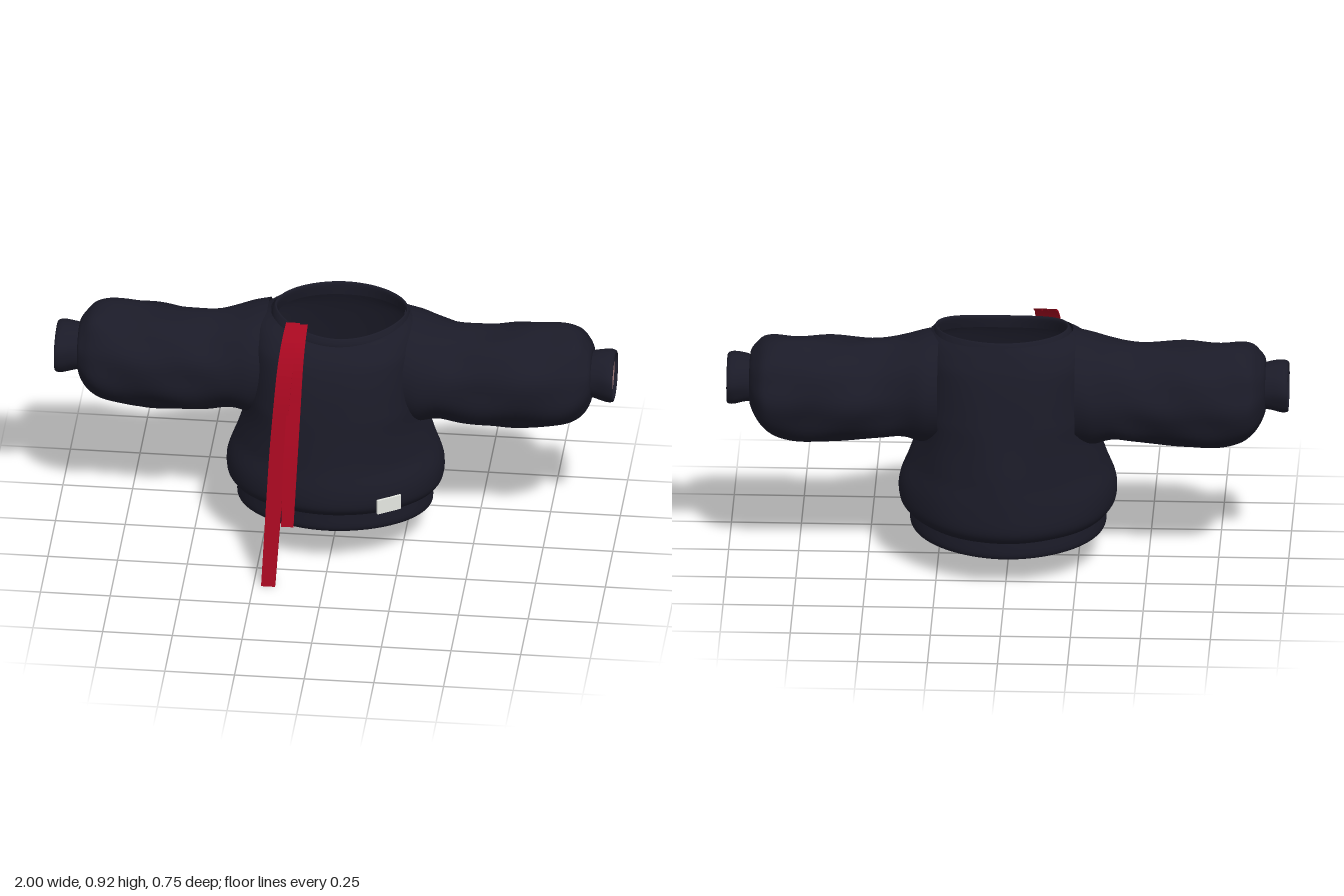
import * as THREE from 'three';

// Smoothly subdivide a list of parameter rows (uniform Catmull-Rom).
function smoothRows(rows, steps) {
  const out = [];
  const at = i => rows[Math.min(Math.max(i, 0), rows.length - 1)];
  for (let i = 0; i < rows.length - 1; i++) {
    for (let s = 0; s < steps; s++) {
      const t = s / steps, t2 = t * t, t3 = t2 * t;
      out.push(rows[i].map((b, k) => {
        const a = at(i - 1)[k], c = at(i + 1)[k], d = at(i + 2)[k];
        return 0.5 * (2 * b + (c - a) * t + (2 * a - 5 * b + 4 * c - d) * t2 + (3 * b - a - 3 * c + d) * t3);
      }));
    }
  }
  out.push(rows[rows.length - 1]);
  return out;
}

// Skin closed rings of points into one surface.
function loft(rings) {
  const n = rings[0].length, index = [];
  for (let i = 0; i < rings.length - 1; i++) {
    for (let j = 0; j < n; j++) {
      const a = i * n + j, b = i * n + (j + 1) % n;
      index.push(a, a + n, b, b, a + n, b + n);
    }
  }
  const g = new THREE.BufferGeometry();
  g.setAttribute('position', new THREE.Float32BufferAttribute(rings.flat(2), 3));
  g.setIndex(index);
  g.computeVertexNormals();
  return g;
}

const ring = (n, fn) => Array.from({ length: n }, (_, j) => fn((j / n) * Math.PI * 2));
const clamp01 = v => THREE.MathUtils.clamp(v, 0, 1);
const power = (v, p) => Math.sign(v) * Math.abs(v) ** p;

// Upright oval rows: [y, slope, half width, front z, back z, centre x, front dip]
// The chest is a little boxier than the waist and neck.
function torsoLoft(rows, fold = 0) {
  return loft(smoothRows(rows, 5).map(([y, slope, hx, zf, zb, cx, dip]) => ring(80, a => {
    const p = 1.05 - 0.23 * clamp01((y - 0.4) / 0.2) * clamp01((0.91 - y) / 0.1);
    const c = power(Math.cos(a), p), s = power(Math.sin(a), p);
    const soft = Math.max(0, 1 - Math.abs(y - 0.45) / 0.4);
    const k = 1 + fold * soft * (Math.sin(5 * a + 6 * y) + 0.6 * Math.sin(9 * a - 8 * y)) * (s < 0 ? 1 : 0.2);
    const z = (zf + zb) / 2 + s * k * (zf - zb) / 2;
    return [cx + c * hx * k, y + slope * z - dip * Math.max(0, s) ** 2, z];
  })));
}

// Sideways oval rows: [x, top y, bottom y, front z, back z, fold strength]
function sleeveLoft(rows) {
  return loft(smoothRows(rows, 5).map(([x, yt, yb, zf, zb, f]) => ring(56, a => {
    const k = 1 + f * (0.025 * Math.sin(3 * a + 17 * x) + 0.02 * Math.sin(5 * a - 24 * x) + 0.015 * Math.sin(9 * a));
    return [x, (yt + yb) / 2 + Math.cos(a) * k * (yt - yb) / 2,
      (zf + zb) / 2 - Math.sin(a) * k * (zf - zb) / 2];
  })));
}

// Flat cord rows from top to bottom: [x, y, z, width]
function ribbon(rows, t) {
  const g = loft(smoothRows(rows, 5).map(([x, y, z, w]) => {
    const h = w / 2;
    return [[x - h, y, z + t], [x + h, y, z + t], [x + h, y, z - t], [x - h, y, z - t]];
  })).toNonIndexed();
  g.computeVertexNormals();
  return g;
}

export function createModel() {
  const group = new THREE.Group();
  const material = (name, color) => {
    const m = new THREE.MeshStandardMaterial({ color, side: THREE.DoubleSide });
    m.name = name;
    return m;
  };
  const navy = material('navy fabric', 0x1b1b28);
  const red = material('red cord', 0xa60820);
  const white = material('white label', 0xfcfff8);
  const pink = material('dusty pink lining', 0x8c6c6c);
  const add = (name, geometry, mat, parent = group) => {
    const mesh = new THREE.Mesh(geometry, mat);
    mesh.name = name;
    parent.add(mesh);
    return mesh;
  };

  // Ribbed waistband, tilted lower at the back
  add('waistband', torsoLoft([
    [0.16, 0.09, 0.325, 0.232, -0.305, 0, 0],
    [0.141, 0.09, 0.338, 0.236, -0.315, 0, 0],
    [0.16, 0.09, 0.35, 0.249, -0.325, 0, 0],
    [0.205, 0.1, 0.349, 0.25, -0.324, 0, 0],
    [0.235, 0.1, 0.345, 0.25, -0.32, 0, 0],
  ]), navy);

  // Loose body that billows over the waistband and slopes at the shoulders
  add('body', torsoLoft([
    [0.21, 0.1, 0.347, 0.249, -0.322, 0, 0],
    [0.222, 0.1, 0.366, 0.267, -0.346, 0, 0],
    [0.258, 0.08, 0.386, 0.287, -0.37, 0, 0],
    [0.33, 0.05, 0.386, 0.285, -0.367, 0, 0],
    [0.42, 0.03, 0.352, 0.266, -0.355, 0, 0],
    [0.52, 0, 0.318, 0.25, -0.336, 0, 0],
    [0.62, 0, 0.303, 0.235, -0.32, 0, 0],
    [0.72, 0, 0.298, 0.215, -0.304, 0, 0],
    [0.8, 0, 0.297, 0.187, -0.287, 0, 0],
    [0.865, 0, 0.288, 0.15, -0.264, 0.004, 0.016],
    [0.903, 0, 0.248, 0.131, -0.248, 0.015, 0.04],
  ], 0.01), navy);

  // Collar band with a narrow slot behind the front neckline
  add('collar', torsoLoft([
    [0.87, 0, 0.249, 0.115, -0.25, 0.018, 0.03],
    [0.895, 0, 0.247, 0.114, -0.249, 0.018, 0.033],
    [0.917, 0, 0.238, 0.105, -0.24, 0.02, 0.036],
    [0.907, 0, 0.231, 0.098, -0.234, 0.02, 0.036],
    [0.865, 0, 0.234, 0.102, -0.236, 0.02, 0.03],
  ]), navy);

  // Puffy sleeves gathered into open, lined cuffs
  const sleeveGeo = sleeveLoft([
    [0.245, 0.9, 0.49, 0.115, -0.278, 0],
    [0.3, 0.886, 0.482, 0.118, -0.276, 0.2],
    [0.37, 0.864, 0.496, 0.105, -0.252, 0.5],
    [0.45, 0.848, 0.488, 0.098, -0.244, 0.8],
    [0.55, 0.848, 0.48, 0.1, -0.252, 0.8],
    [0.66, 0.858, 0.475, 0.1, -0.262, 0.8],
    [0.76, 0.858, 0.48, 0.094, -0.26, 0.8],
    [0.83, 0.858, 0.493, 0.085, -0.254, 0.8],
    [0.872, 0.846, 0.52, 0.072, -0.242, 1],
    [0.9, 0.82, 0.555, 0.052, -0.21, 1],
    [0.918, 0.795, 0.595, 0.032, -0.172, 0.8],
    [0.922, 0.768, 0.62, 0.012, -0.15, 0],
  ]);
  const cuffGeo = sleeveLoft([
    [0.905, 0.775, 0.615, 0.016, -0.15, 0],
    [0.94, 0.784, 0.61, 0.026, -0.156, 0.5],
    [0.98, 0.788, 0.602, 0.04, -0.166, 0.5],
    [1.0, 0.78, 0.606, 0.04, -0.163, 0.5],
    [0.99, 0.77, 0.614, 0.032, -0.156, 0.5],
    [0.9, 0.76, 0.63, 0.005, -0.14, 0],
  ]);
  const liningGeo = sleeveLoft([
    [0.99, 0.767, 0.617, 0.029, -0.153, 0.5],
    [0.976, 0.763, 0.62, 0.024, -0.149, 0.5],
  ]);
  for (const side of [1, -1]) {
    const arm = new THREE.Group();
    arm.name = side > 0 ? 'leftArm' : 'rightArm';
    arm.scale.x = side;
    add('sleeve', sleeveGeo, navy, arm);
    add('cuff', cuffGeo, navy, arm);
    add('cuffLining', liningGeo, pink, arm);
    group.add(arm);
  }

  // Two flat cords hanging over the front from the neckline
  add('longCord', ribbon([
    [-0.14, 0.918, 0.075, 0.05],
    [-0.147, 0.88, 0.14, 0.052],
    [-0.155, 0.8, 0.195, 0.055],
    [-0.163, 0.68, 0.235, 0.056],
    [-0.174, 0.5, 0.27, 0.057],
    [-0.184, 0.28, 0.313, 0.055],
    [-0.197, 0, 0.368, 0.05],
  ], 0.007), red);
  add('shortCord', ribbon([
    [-0.11, 0.918, 0.08, 0.048],
    [-0.113, 0.88, 0.143, 0.05],
    [-0.116, 0.8, 0.198, 0.05],
    [-0.12, 0.65, 0.245, 0.05],
    [-0.126, 0.45, 0.302, 0.05],
    [-0.13, 0.24, 0.353, 0.044],
  ], 0.003), red);

  // Small label near the left front of the waist
  const label = add('label', new THREE.BoxGeometry(0.094, 0.056, 0.009), white);
  label.position.set(0.221, 0.281, 0.228);
  label.rotation.y = 0.57;
  return group;
}
